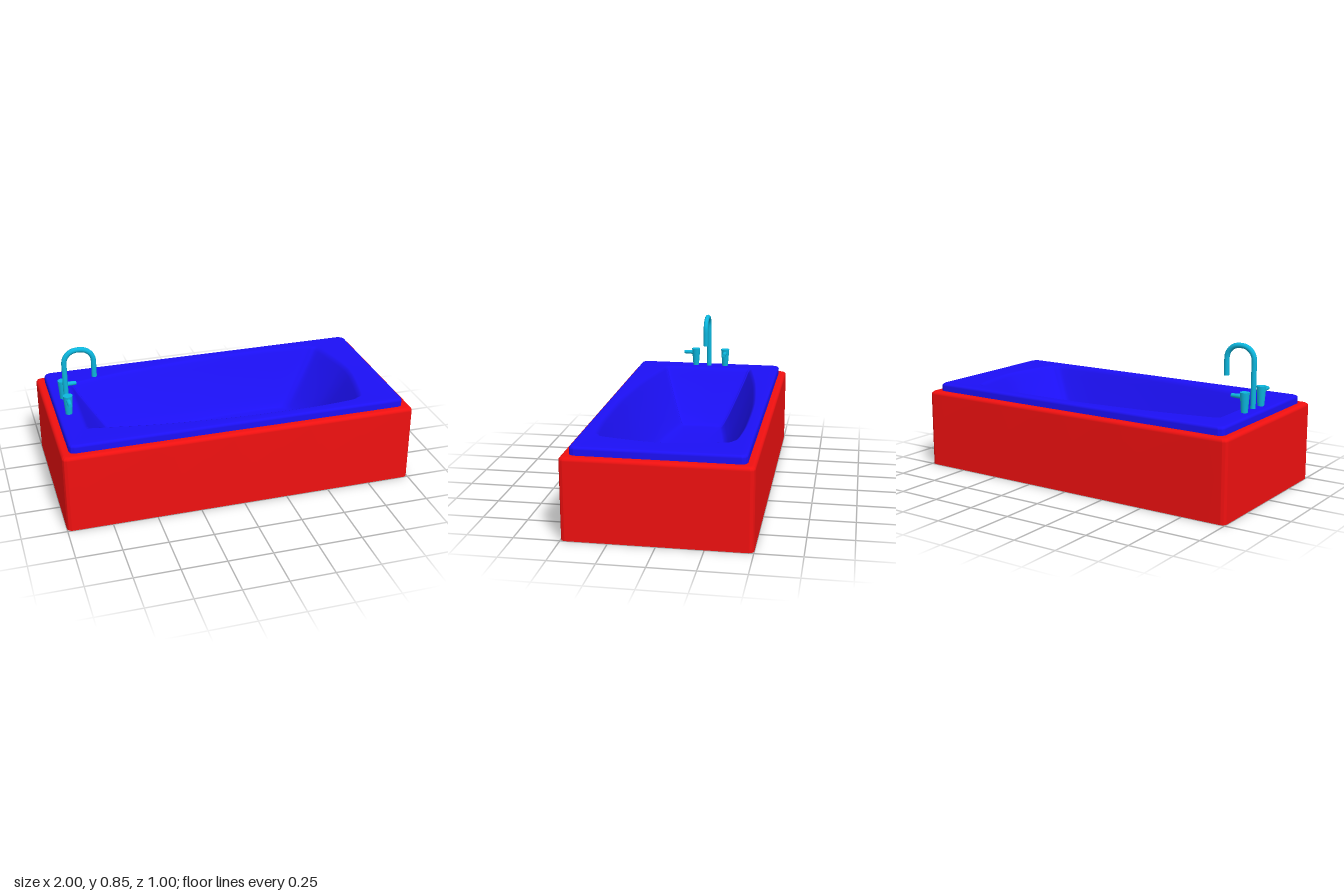
import * as THREE from 'three';

const red = new THREE.MeshStandardMaterial({ color: 0xf01010, side: THREE.DoubleSide });
const blue = new THREE.MeshStandardMaterial({ color: 0x1c10f5, side: THREE.DoubleSide });
const cyan = new THREE.MeshStandardMaterial({ color: 0x0cb6dd, side: THREE.DoubleSide });

const STEPS = 4; // samples between neighbouring outline points

// Mirrors a half outline (foot to head, z >= 0) and samples it as a closed loop.
function outline(half, tension) {
  const back = half.slice(1, -1).reverse().map(([x, z]) => [x, -z]);
  const pts = [...half, ...back].map(([x, z]) => new THREE.Vector3(x, 0, z));
  const curve = new THREE.CatmullRomCurve3(pts, true, 'catmullrom', tension);
  return curve.getPoints(pts.length * STEPS).slice(0, -1);
}

// Rectangle with rounded corners, with the same point count as the basin outlines.
function rect(X, Z, r) {
  const k = r * 0.3;
  return outline([
    [-X, 0], [-X, Z - r], [-X + k, Z - k], [-X + r, Z], [-0.4, Z], [0, Z],
    [0.45, Z], [X - r, Z], [X - k, Z - k], [X, Z - r], [X, 0],
  ], 0);
}

const atHeight = (loop, y) => loop.map((p) => new THREE.Vector3(p.x, y, p.z));
const blend = (a, b, t, y) => a.map((p, i) => p.clone().lerp(b[i], t).setY(y));

// Joins a stack of equal-length loops into one smooth skin.
function loft(rings) {
  const n = rings[0].length;
  const index = [];
  for (let i = 0; i < rings.length - 1; i++) {
    for (let j = 0; j < n; j++) {
      const k = (j + 1) % n;
      const a = i * n + j, b = i * n + k, c = a + n, d = b + n;
      index.push(a, b, d, a, d, c);
    }
  }
  const geo = new THREE.BufferGeometry().setFromPoints(rings.flat());
  geo.setIndex(index);
  geo.computeVertexNormals();
  return geo;
}

function add(parent, name, geo, material) {
  const mesh = new THREE.Mesh(geo, material);
  mesh.name = name;
  parent.add(mesh);
  return mesh;
}

// Basin mouth and floor outlines, narrow at the foot and wide at the head.
const mouth = outline([
  [-0.83, 0], [-0.83, 0.24], [-0.82, 0.27], [-0.79, 0.285], [-0.45, 0.345], [0, 0.388],
  [0.43, 0.392], [0.66, 0.375], [0.71, 0.355], [0.745, 0.31], [0.80, 0],
], 0.4);
const floor = outline([
  [-0.59, 0], [-0.58, 0.10], [-0.57, 0.12], [-0.55, 0.13], [-0.25, 0.185], [0.05, 0.22],
  [0.35, 0.23], [0.44, 0.226], [0.47, 0.215], [0.50, 0.17], [0.55, 0],
], 0.4);

// Surround: open below, rounded top edge, flange running in to the basin.
function surround() {
  const rings = [atHeight(rect(1, 0.5, 0.025), 0)];
  for (let i = 0; i <= 4; i++) {
    const a = (i / 4) * Math.PI / 2;
    const inset = 0.02 * (1 - Math.cos(a));
    rings.push(atHeight(rect(1 - inset, 0.5 - inset, 0.025), 0.43 + 0.02 * Math.sin(a)));
  }
  rings.push(atHeight(rect(0.94, 0.44, 0.025), 0.45), atHeight(mouth, 0.448));
  return loft(rings);
}

// Tub: raised rim, sloping walls and floor as one thin shell.
function tub() {
  const rings = [atHeight(rect(0.955, 0.457, 0.03), 0.448)];
  for (let i = 0; i <= 4; i++) {
    const a = (i / 4) * Math.PI / 2;
    const inset = 0.015 * (1 - Math.cos(a));
    rings.push(atHeight(rect(0.955 - inset, 0.457 - inset, 0.03), 0.48 + 0.015 * Math.sin(a)));
  }
  rings.push(atHeight(rect(0.92, 0.425, 0.03), 0.495));
  const wall = [[-0.05, 0.495], [0, 0.491], [0.06, 0.475], [0.14, 0.44], [0.4, 0.345],
    [0.7, 0.24], [0.88, 0.187], [0.97, 0.168], [1.04, 0.163]];
  for (const [t, y] of wall) rings.push(blend(mouth, floor, t, y));
  for (const s of [0.7, 0.4, 0.001]) {
    rings.push(floor.map((p) => new THREE.Vector3(p.x * s, 0.16, p.z * s)));
  }
  return loft(rings);
}

// Swan-neck spout: riser, two rounded bends and a short drop, with a round cap.
function spout() {
  const group = new THREE.Group();
  group.name = 'spout';
  const left = -0.89, right = -0.726, top = 0.831, r = 0.075;
  const pts = [[left, 0.48], [left, 0.6], [left, 0.72]];
  for (let i = 0; i <= 6; i++) {
    const a = Math.PI - (i / 6) * Math.PI / 2;
    pts.push([left + r + r * Math.cos(a), top - r + r * Math.sin(a)]);
  }
  for (let i = 0; i <= 6; i++) {
    const a = Math.PI / 2 - (i / 6) * Math.PI / 2;
    pts.push([right - r + r * Math.cos(a), top - r + r * Math.sin(a)]);
  }
  pts.push([right, 0.72], [right, 0.66]);
  const path = new THREE.CatmullRomCurve3(pts.map(([x, y]) => new THREE.Vector3(x, y, 0)));
  add(group, 'spoutPipe', new THREE.TubeGeometry(path, 80, 0.0145, 16), cyan);
  const end = add(group, 'spoutEnd', new THREE.CircleGeometry(0.0145, 16), cyan);
  end.rotation.x = Math.PI / 2;
  end.position.set(right, 0.66, 0);
  return group;
}

// Tap: tapered body with a lever pointing along local +x.
function tap(name, z, turn) {
  const group = new THREE.Group();
  group.name = name;
  const body = add(group, 'tapBody', new THREE.CylinderGeometry(0.027, 0.018, 0.115, 16), cyan);
  body.position.y = 0.5475;
  const lever = add(group, 'tapLever', new THREE.CylinderGeometry(0.011, 0.0145, 0.076, 16), cyan);
  lever.rotation.z = Math.PI / 2;
  lever.rotation.x = 0;
  lever.scale.y = -1;
  lever.geometry.scale(1, -1, 1);
  lever.geometry.index.array.reverse();
  lever.scale.y = 1;
  lever.position.set(0.04, 0.58, 0);
  group.position.set(-0.893, 0, z);
  group.rotation.y = turn;
  return group;
}

export function createModel() {
  const model = new THREE.Group();
  model.name = 'bathtub';
  add(model, 'surround', surround(), red);
  add(model, 'tub', tub(), blue);
  model.add(spout());
  model.add(tap('frontTap', 0.088, -Math.PI / 2));
  model.add(tap('backTap', -0.105, 0));
  return model;
}
